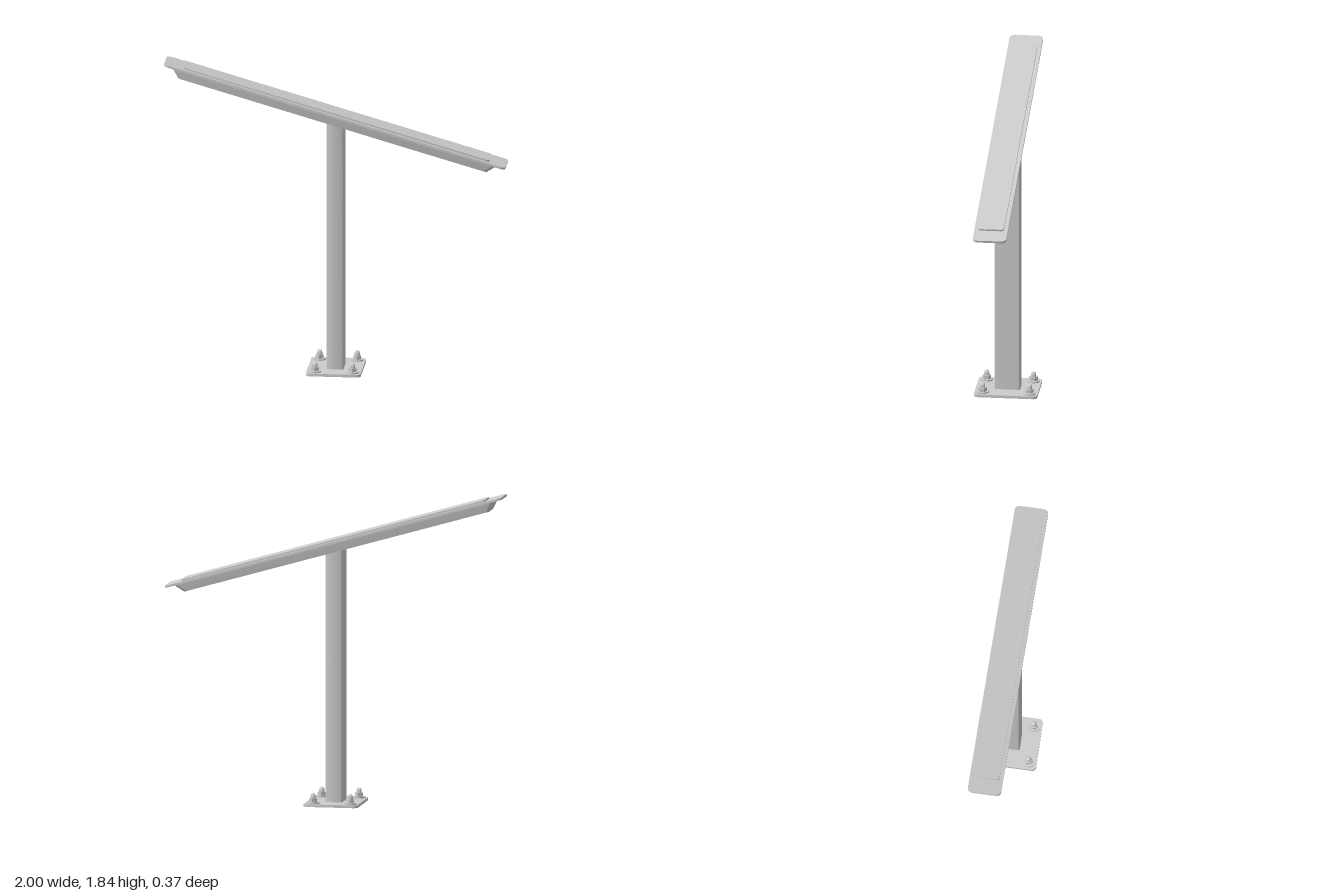
import * as THREE from 'three';
import { toCreasedNormals } from 'three/addons/utils/BufferGeometryUtils.js';

const grey = new THREE.MeshStandardMaterial({ color: 0xcccccc });

function add(parent, name, geometry, x = 0, y = 0, z = 0) {
  const mesh = new THREE.Mesh(geometry, grey);
  mesh.name = name;
  mesh.position.set(x, y, z);
  parent.add(mesh);
  return mesh;
}

// Rectangle with rounded corners, half sizes a and b
function roundedRect(a, b, r, Type = THREE.Shape) {
  const s = new Type();
  s.absarc(a - r, b - r, r, 0, Math.PI / 2);
  s.absarc(-a + r, b - r, r, Math.PI / 2, Math.PI);
  s.absarc(-a + r, -b + r, r, Math.PI, Math.PI * 1.5);
  s.absarc(a - r, -b + r, r, Math.PI * 1.5, Math.PI * 2);
  s.closePath();
  return s;
}

// Upright slab from y0 to y1; bottom edge can be drawn in by insetX and insetZ
function slab(shape, y0, y1, insetX = 0, insetZ = 0) {
  const g = new THREE.ExtrudeGeometry(shape, { depth: y1 - y0, bevelEnabled: false, curveSegments: 6 });
  g.rotateX(-Math.PI / 2);
  g.translate(0, y0, 0);
  const p = g.attributes.position;
  for (let i = 0; i < p.count; i++) {
    if (p.getY(i) < (y0 + y1) / 2) {
      p.setX(i, p.getX(i) * (1 - insetX));
      p.setZ(i, p.getZ(i) * (1 - insetZ));
    }
  }
  return toCreasedNormals(g, 0.6);
}

export function createModel() {
  const model = new THREE.Group();
  model.name = 'slopedBeamOnPost';

  // Base plate with bolt holes
  const boltX = 0.11, boltZ = 0.137;
  const baseShape = roundedRect(0.16, 0.185, 0.025);
  for (const sx of [-1, 1]) {
    for (const sz of [-1, 1]) {
      const hole = new THREE.Path();
      hole.absarc(sx * boltX, sz * boltZ, 0.021, 0, Math.PI * 2, true);
      baseShape.holes.push(hole);
    }
  }
  add(model, 'basePlate', slab(baseShape, 0.005, 0.021));

  // Anchor bolts: washer, hex nut and domed stud
  const studProfile = [[0, 0], [0.016, 0], [0.016, 0.062], [0.014, 0.072], [0.009, 0.079], [0, 0.082]]
    .map(([r, y]) => new THREE.Vector2(r, y));
  for (const sx of [-1, 1]) {
    for (const sz of [-1, 1]) {
      const bolt = new THREE.Group();
      bolt.name = 'anchorBolt';
      bolt.position.set(sx * boltX, 0, sz * boltZ);
      add(bolt, 'washer', new THREE.CylinderGeometry(0.037, 0.037, 0.008, 24), 0, 0.025, 0);
      const nut = new THREE.CylinderGeometry(0.025, 0.025, 0.022, 6).toNonIndexed();
      nut.computeVertexNormals();
      add(bolt, 'nut', nut, 0, 0.04, 0);
      add(bolt, 'stud', toCreasedNormals(new THREE.LatheGeometry(studProfile, 16), 0.9));
      model.add(bolt);
    }
  }

  // Post
  add(model, 'post', slab(roundedRect(0.05, 0.075, 0.008), 0.02, 1.51));

  // Sloping top: tapered tray, cover plate and raised pad
  const top = new THREE.Group();
  top.name = 'slopedTop';
  top.position.y = 1.547;
  top.rotation.z = -THREE.MathUtils.degToRad(16);
  add(top, 'tray', slab(roundedRect(0.985, 0.084, 0.025), -0.057, -0.007, 0.045, 0.1));
  add(top, 'coverPlate', slab(roundedRect(1.038, 0.098, 0.03), -0.007, 0.006));
  add(top, 'raisedPad', slab(roundedRect(0.935, 0.075, 0.018), 0.006, 0.016));
  model.add(top);

  return model;
}
